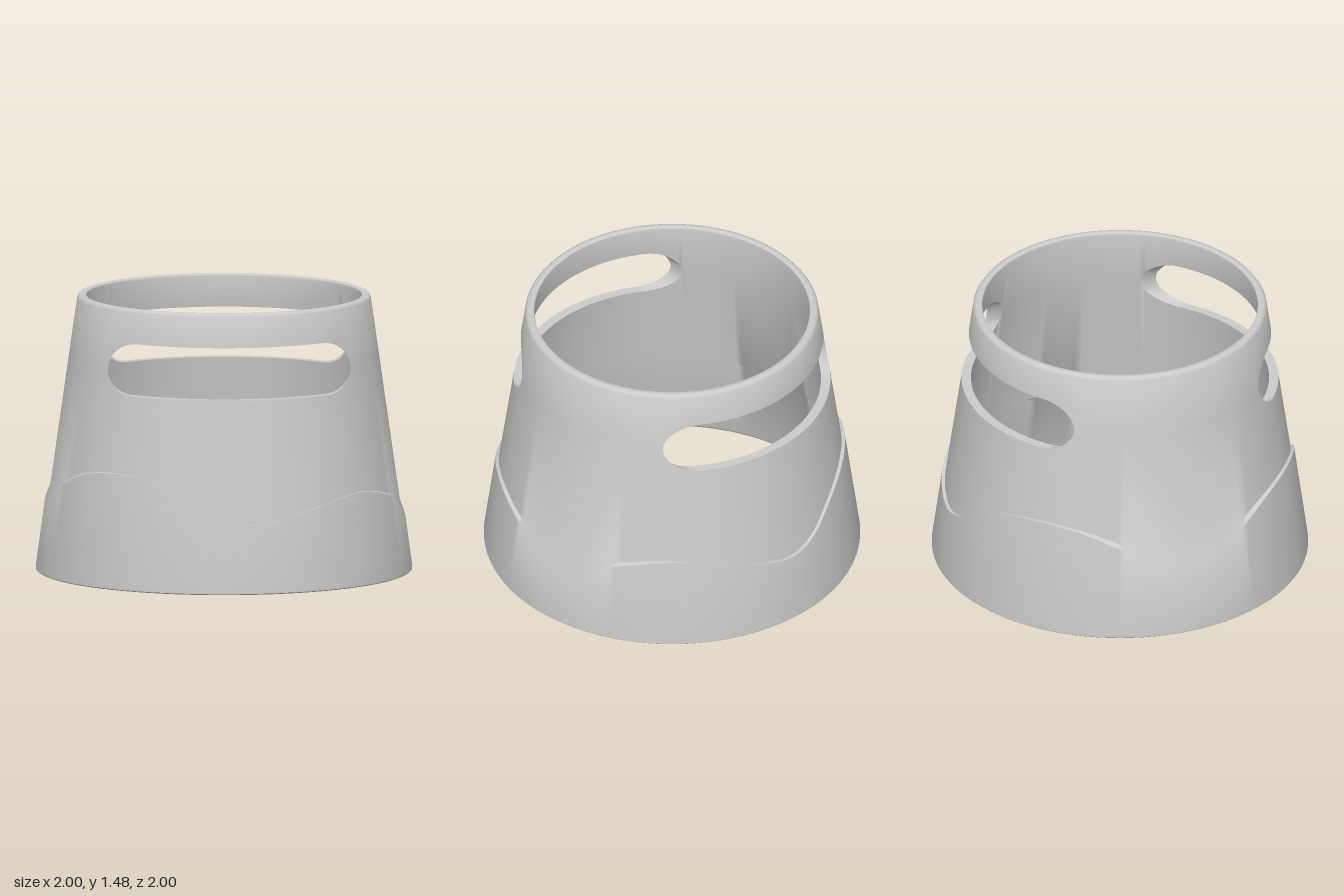
import * as THREE from 'three';
import { toCreasedNormals } from 'three/addons/utils/BufferGeometryUtils.js';

const TOP = 1.475, WALL = 0.05, BEVEL = 0.018;
const SLOT = { x0: -0.625, x1: 0.66, y0: 1.02, y1: 1.295 };
const MID = (SLOT.y0 + SLOT.y1) / 2, CAP = (SLOT.y1 - SLOT.y0) / 2;

// Radii of the tapered body and of the slightly wider band around its foot
const bodyR = (y) => 0.985 - 0.142 * y;
const bandR = (y) => 1.0 - 0.135 * y;

// Upper edge of the band: height as a smooth function of x
const WAVE = [[-1.02, 0.22], [-0.942, 0.385], [-0.845, 0.52], [-0.74, 0.588], [-0.58, 0.61], [-0.4, 0.583],
  [-0.23, 0.517], [-0.05, 0.41], [0.1, 0.364], [0.28, 0.385], [0.486, 0.444], [0.717, 0.492],
  [0.866, 0.445], [0.925, 0.365], [0.96, 0.29], [1.02, 0.17]];
function waveY(x) {
  const last = WAVE.length - 1;
  const slope = (i) => {
    const a = WAVE[Math.max(i - 1, 0)], b = WAVE[Math.min(i + 1, last)];
    return (b[1] - a[1]) / (b[0] - a[0]);
  };
  let i = 0;
  while (i < last - 1 && x > WAVE[i + 1][0]) i++;
  const [xa, ya] = WAVE[i], [xb, yb] = WAVE[i + 1], h = xb - xa, t = (x - xa) / h;
  return ya * (1 + 2 * t) * (1 - t) ** 2 + yb * t * t * (3 - 2 * t)
    + h * (slope(i) * t * (1 - t) ** 2 + slope(i + 1) * t * t * (t - 1));
}

// Height at which a wall meets the wave at a given angle
function waveOnWall(radius, angle) {
  let y = 0.4;
  for (let i = 0; i < 20; i++) y = waveY(radius(y) * Math.sin(angle));
  return y;
}

// Sample the slot from end to end: fine steps in the round caps, even ones between
function slotSamples() {
  const out = [], capSteps = 14, midSteps = 44;
  for (let i = 0; i <= capSteps; i++) {
    const a = (i / capSteps) * Math.PI / 2;
    out.push({ x: SLOT.x0 + CAP * (1 - Math.cos(a)), h: CAP * Math.sin(a) });
  }
  const xa = SLOT.x0 + CAP, xb = SLOT.x1 - CAP;
  for (let i = 1; i < midSteps; i++) out.push({ x: xa + (xb - xa) * i / midSteps, h: CAP });
  for (let i = capSteps; i >= 0; i--) {
    const a = (i / capSteps) * Math.PI / 2;
    out.push({ x: SLOT.x1 - CAP * (1 - Math.cos(a)), h: CAP * Math.sin(a) });
  }
  return out;
}

// Columns around one wall: front slot, left side, back slot, right side
function wallColumns(inset) {
  const r = bodyR(MID) - inset, cols = [], sideSteps = 48;
  const front = slotSamples().map((s) => ({ angle: Math.asin(s.x / r), h: s.h, slot: true }));
  const back = front.map((c) => ({ ...c, angle: Math.PI - c.angle })).reverse();
  const side = (a, b) => {
    for (let i = 1; i < sideSteps; i++) cols.push({ angle: a + (b - a) * i / sideSteps, h: 0, slot: false });
  };
  cols.push(...front);
  side(front[front.length - 1].angle, back[0].angle);
  cols.push(...back);
  side(back[back.length - 1].angle, front[0].angle + 2 * Math.PI);
  return cols;
}

// One wall's points at a column, from foot to rim
function wallPoints(col, inset) {
  const body = (y) => bodyR(y) - inset, band = (y) => bandR(y) - inset;
  const s = inset ? -1 : 1;
  const at = (r, y) => new THREE.Vector3(r * Math.sin(col.angle), y, r * Math.cos(col.angle));
  const on = (radius, y) => at(radius(y), y);
  return [
    at(band(0) - s * BEVEL * 0.5, 0),
    at(band(0) - s * BEVEL * 0.15, BEVEL * 0.3),
    on(band, BEVEL),
    on(band, waveOnWall(band, col.angle)),
    on(body, waveOnWall(body, col.angle)),
    on(body, MID - col.h),
    on(body, MID + col.h),
    on(body, TOP - BEVEL),
    at(body(TOP) - s * BEVEL * 0.3, TOP - BEVEL * 0.3),
    at(body(TOP) - s * BEVEL, TOP),
  ];
}
const LO = 5, HI = 6;

function shellGeometry() {
  const outer = wallColumns(0), inner = wallColumns(WALL);
  const loops = outer.map((c, i) => [...wallPoints(c, 0), ...wallPoints(inner[i], WALL).reverse()]);
  const rows = loops[0].length, inLo = rows - 1 - LO, inHi = rows - 1 - HI;
  const pos = [], tri = new THREE.Triangle();
  const addTri = (a, b, c) => {
    if (tri.set(a, b, c).getArea() > 1e-8) for (const p of [a, b, c]) pos.push(p.x, p.y, p.z);
  };
  const quad = (a, b, c, d) => { addTri(a, b, c); addTri(a, c, d); };

  loops.forEach((p, i) => {
    const j = (i + 1) % loops.length, q = loops[j];
    const open = outer[i].slot && outer[j].slot;
    // Outer wall, rim, inner wall and foot, leaving the slots open
    for (let k = 0; k < rows; k++) {
      if (open && (k === LO || k === inHi)) continue;
      const n = (k + 1) % rows;
      quad(p[k], q[k], q[n], p[n]);
    }
    // Lower and upper faces of the slots through the wall
    if (open) {
      quad(p[LO], q[LO], q[inLo], p[inLo]);
      quad(p[inHi], q[inHi], q[HI], p[HI]);
    }
  });
  const geo = new THREE.BufferGeometry();
  geo.setAttribute('position', new THREE.Float32BufferAttribute(pos, 3));
  return toCreasedNormals(geo, 0.7);
}

export function createModel() {
  const group = new THREE.Group();
  group.name = 'slottedTaperedSleeve';
  const shell = new THREE.Mesh(shellGeometry(), new THREE.MeshStandardMaterial({ color: 0xcccccc }));
  shell.name = 'sleeveShell';
  group.add(shell);
  return group;
}
